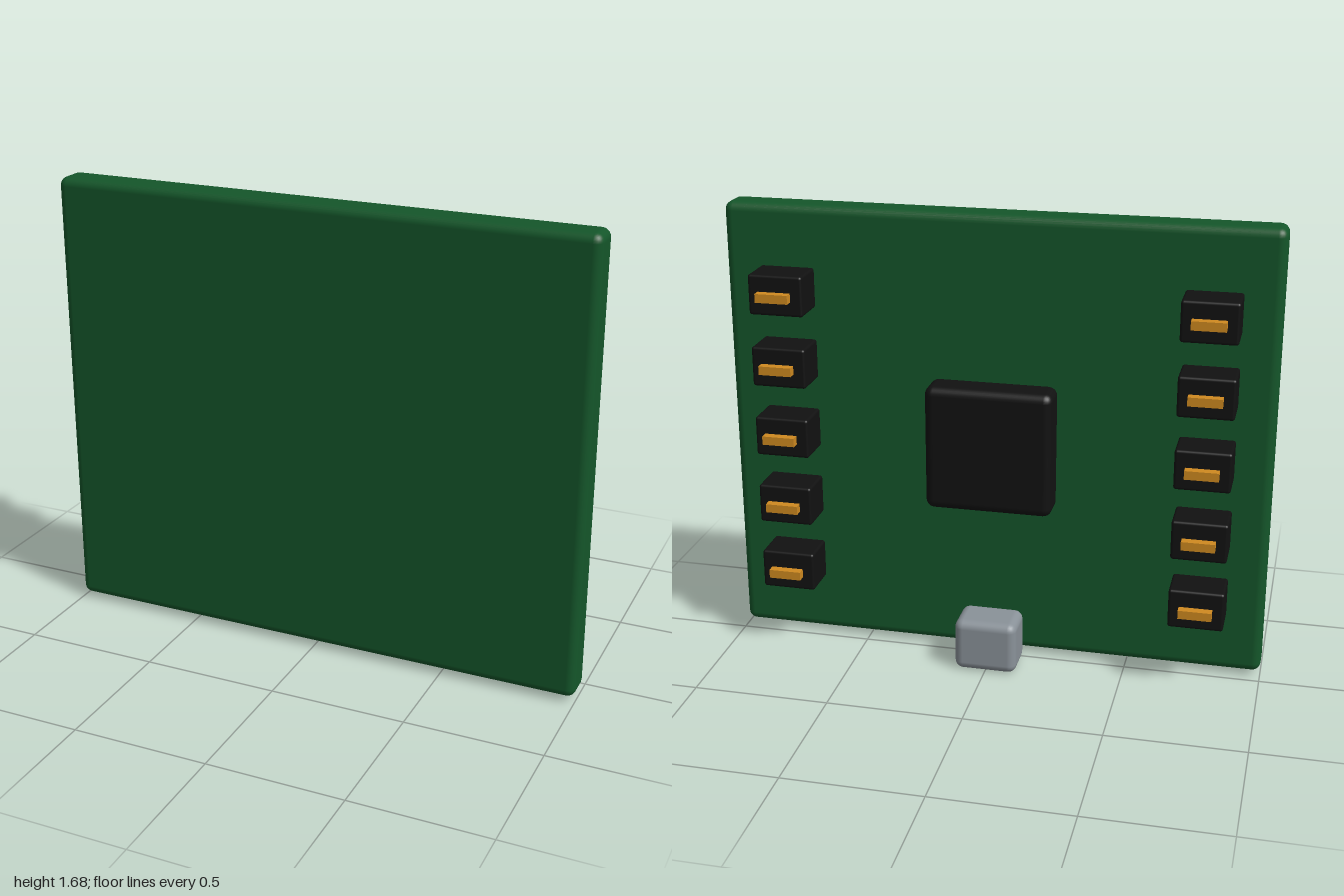
import * as THREE from 'three';
import { RoundedBoxGeometry } from 'three/addons/geometries/RoundedBoxGeometry.js';

const material = (color) => new THREE.MeshStandardMaterial({ color });

export function createModel() {
  const model = new THREE.Group();
  model.name = 'circuitBoard';
  const green = material(0x14562a);
  const black = material(0x111111);
  const gold = material(0xd08a20);
  const metal = material(0x8a9299);

  // Box with rounded edges (radius 0 gives a plain box)
  const addBox = (name, mat, size, position, radius, parent = model) => {
    const geometry = radius > 0
      ? new RoundedBoxGeometry(...size, 3, radius)
      : new THREE.BoxGeometry(...size);
    const mesh = new THREE.Mesh(geometry, mat);
    mesh.name = name;
    mesh.position.set(...position);
    parent.add(mesh);
    return mesh;
  };

  // Board, with the parts mounted on its back
  addBox('board', green, [2, 1.665, 0.13], [0, 0.853, 0.092], 0.032);
  addBox('chip', black, [0.464, 0.464, 0.135], [0, 0.853, -0.04], 0.032);
  addBox('port', metal, [0.232, 0.198, 0.166], [0, 0.101, -0.074], 0.032);

  // Two columns of five header blocks, each with a contact pin
  for (const side of [-1, 1]) {
    const header = new THREE.Group();
    header.name = side > 0 ? 'leftHeader' : 'rightHeader';
    for (let i = 0; i < 5; i++) {
      const y = 0.32 + i * 0.267;
      addBox('headerBlock', black, [0.2, 0.147, 0.147], [side * 0.766, y, -0.042], 0.01, header);
      addBox('pin', gold, [0.12, 0.032, 0.032], [side * 0.766, y, -0.141], 0, header);
    }
    model.add(header);
  }
  return model;
}
